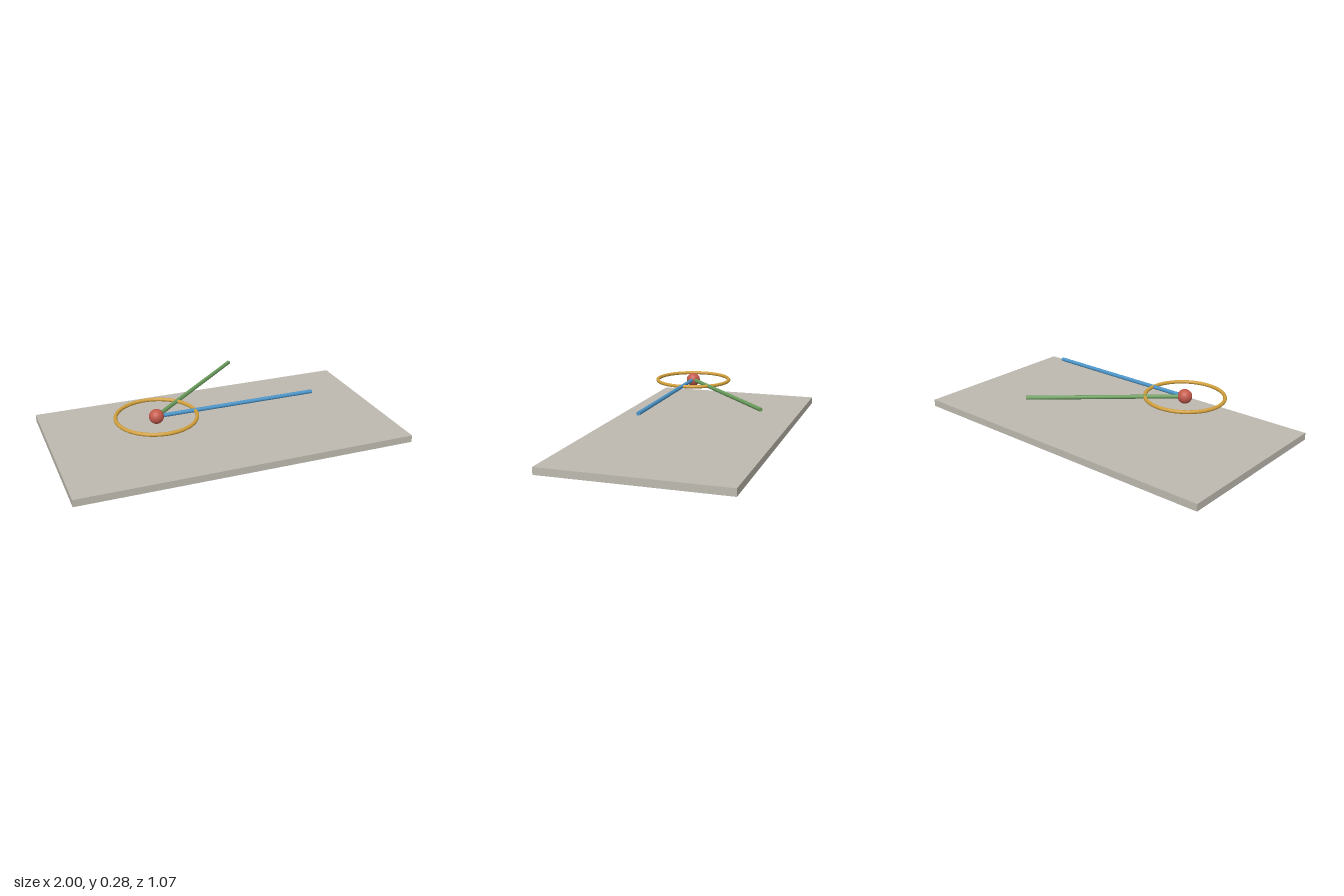
import * as THREE from 'three';

const material = (name, color) => {
  const m = new THREE.MeshStandardMaterial({ color });
  m.name = name;
  return m;
};

export function createModel() {
  const model = new THREE.Group();
  model.name = 'angleDiagram';

  const add = (parent, name, geometry, mat) => {
    const mesh = new THREE.Mesh(geometry, mat);
    mesh.name = name;
    parent.add(mesh);
    return mesh;
  };

  // Base plate
  const height = 0.042;
  add(model, 'basePlate', new THREE.BoxGeometry(2, height, 1.066), material('warm grey', 0xbdb9af))
    .position.y = height / 2;

  // Everything else floats around the vertex of the angle
  const angle = new THREE.Group();
  angle.name = 'angle';
  angle.position.set(-0.429, 0.237, 0.142);
  model.add(angle);

  add(angle, 'vertexBall', new THREE.SphereGeometry(0.042, 32, 20), material('red', 0xc45a4c));

  // Horizontal ring around the vertex
  add(angle, 'ring', new THREE.TorusGeometry(0.2275, 0.0105, 12, 64), material('gold', 0xd2a03c))
    .rotation.x = Math.PI / 2;

  // Rods from the vertex outwards, turned about the vertical axis
  const addRod = (name, length, degrees, mat) => {
    const geometry = new THREE.CylinderGeometry(0.0115, 0.0115, length, 16);
    geometry.rotateZ(-Math.PI / 2).translate(length / 2, 0, 0);
    add(angle, name, geometry, mat).rotation.y = THREE.MathUtils.degToRad(degrees);
  };
  addRod('straightRod', 0.96, 0, material('blue', 0x4a94c8));
  addRod('slantedRod', 0.902, 42, material('green', 0x6a9c5c));

  return model;
}
